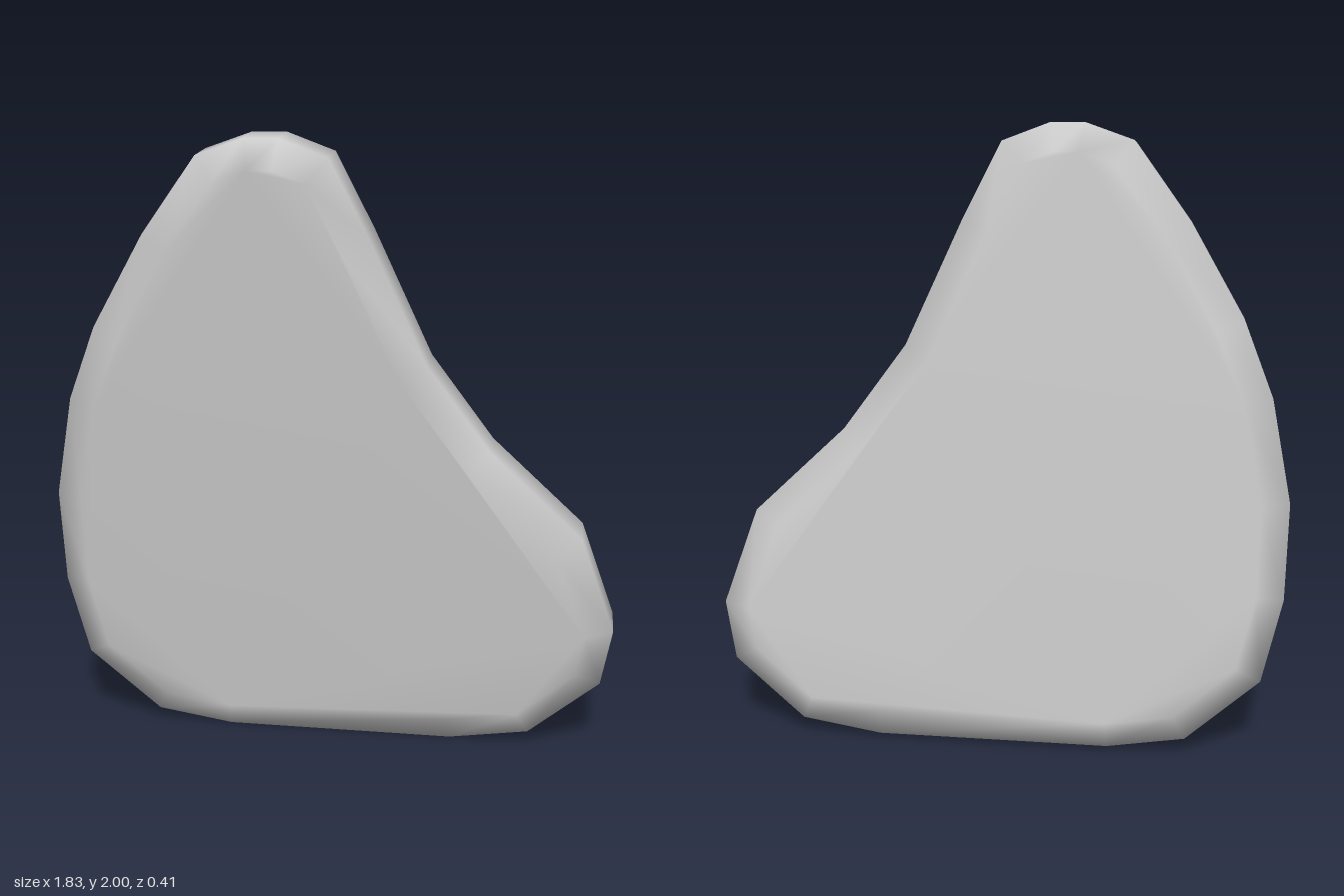
import * as THREE from 'three';

// Outline of the slab, counter-clockwise seen from the front
const OUTLINE = [
  [-0.36, 0.005], [0.39, 0.005], [0.65, 0.045], [0.88, 0.24], [0.915, 0.43],
  [0.805, 0.745], [0.51, 1.025], [0.31, 1.30], [0.13, 1.70], [0.01, 1.94],
  [-0.14, 1.997], [-0.25, 1.997], [-0.40, 1.945], [-0.58, 1.70], [-0.755, 1.40],
  [-0.85, 1.16], [-0.915, 0.83], [-0.908, 0.52], [-0.845, 0.25], [-0.61, 0.045],
].map(([x, y]) => new THREE.Vector2(x, y - 1));

const RIM = 0.073;   // half thickness at the rim
const FACE = 0.117;  // half thickness at the flat faces
const INSET = 0.09;  // width of the bevel
const LEAN = 0.1;    // forward tilt

// Move every corner inwards by a mitred distance
function inset(points, d) {
  const n = points.length;
  const inward = (a, b) => new THREE.Vector2(a.y - b.y, b.x - a.x).normalize();
  return points.map((p, i) => {
    const n1 = inward(points[(i + n - 1) % n], p);
    const n2 = inward(p, points[(i + 1) % n]);
    const m = n1.clone().add(n2).normalize();
    return p.clone().addScaledVector(m, d / m.dot(n1));
  });
}

function slabGeometry() {
  const n = OUTLINE.length;
  const inner = inset(OUTLINE, INSET);
  // Rings from the back face to the front face
  const rings = [[inner, -FACE], [OUTLINE, -RIM], [OUTLINE, RIM], [inner, FACE]];
  const positions = rings.flatMap(([pts, z]) => pts.flatMap((p) => [p.x, p.y, z]));
  const index = [];

  // Bevels and side wall
  for (let r = 0; r < 3; r++) {
    for (let i = 0; i < n; i++) {
      const j = (i + 1) % n;
      const a = r * n + i, b = r * n + j, c = a + n, d = b + n;
      index.push(a, b, d, a, d, c);
    }
  }
  // Flat back and front
  for (const [a, b, c] of THREE.ShapeUtils.triangulateShape(inner, [])) {
    index.push(a, c, b, 3 * n + a, 3 * n + b, 3 * n + c);
  }

  const geometry = new THREE.BufferGeometry();
  geometry.setAttribute('position', new THREE.Float32BufferAttribute(positions, 3));
  geometry.setIndex(index);
  geometry.computeVertexNormals();
  return geometry;
}

export function createModel() {
  const group = new THREE.Group();
  group.name = 'stoneSlab';
  const slab = new THREE.Mesh(slabGeometry(), new THREE.MeshStandardMaterial({ color: 0xcccccc }));
  slab.name = 'slab';
  slab.rotation.x = LEAN;
  slab.position.y = 1;
  group.add(slab);
  return group;
}
